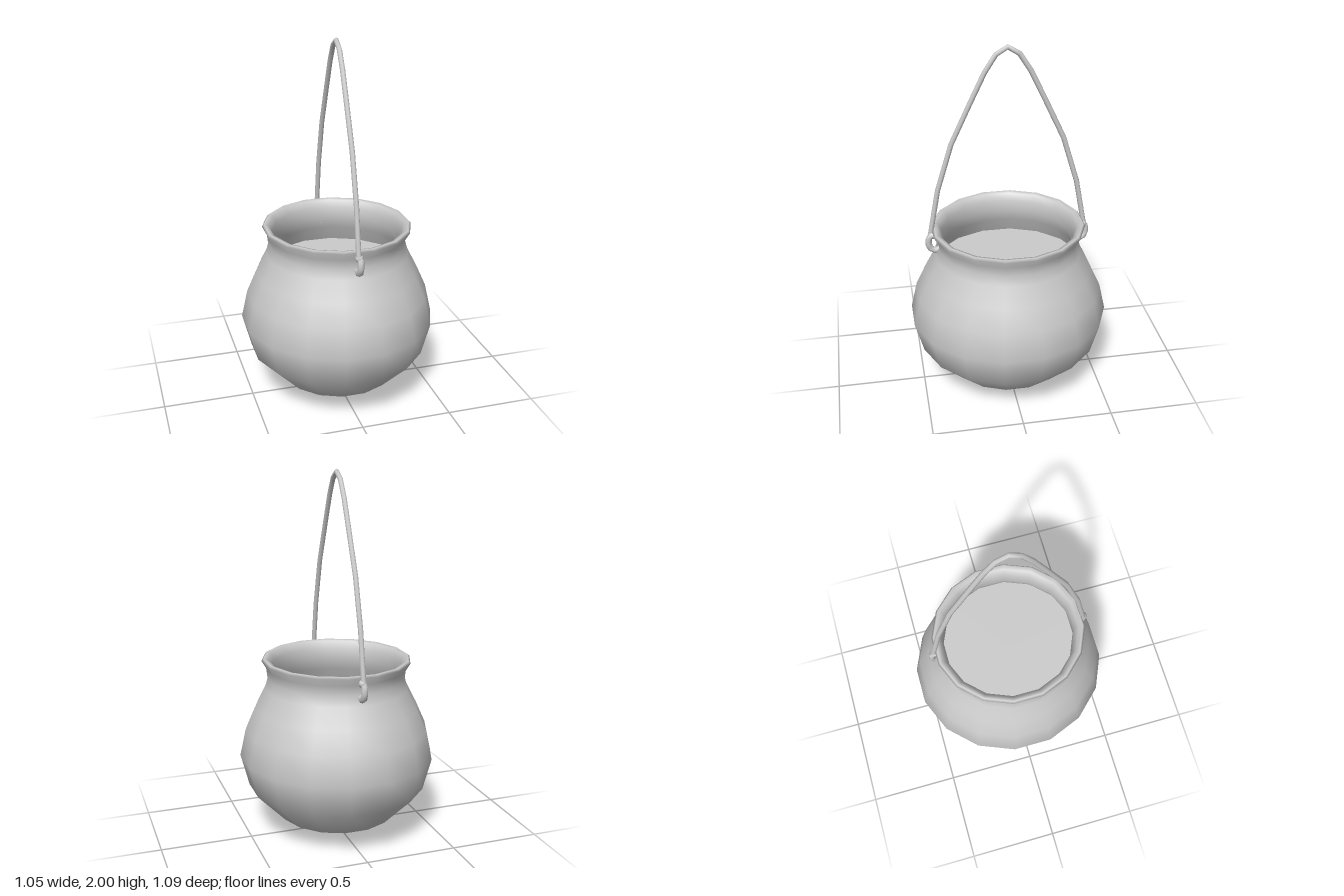
import * as THREE from 'three';

const SIDES = 16;
const DEPTH_RATIO = 0.965; // the pot is slightly narrower across x

const material = new THREE.MeshStandardMaterial({ color: 0xcccccc, side: THREE.DoubleSide });

function addMesh(parent, name, geometry) {
  const mesh = new THREE.Mesh(geometry, material);
  mesh.name = name;
  parent.add(mesh);
  return mesh;
}

// Round bar through [z, y] points, with one ring of vertices at every point
function bar(points, radius, sides, x = () => 0) {
  const curve = new THREE.CatmullRomCurve3(points.map(([z, y]) => new THREE.Vector3(x(z), y, z)));
  curve.getPointAt = curve.getPoint;
  curve.getTangentAt = curve.getTangent;
  return new THREE.TubeGeometry(curve, points.length - 1, radius, sides);
}

export function createModel() {
  const group = new THREE.Group();

  // Pot: outer wall, rolled lip, then inner wall down to the contents
  const profile = [
    [0, 0], [0.116, 0], [0.338, 0.1], [0.507, 0.27], [0.555, 0.447], [0.52, 0.6],
    [0.465, 0.72], [0.407, 0.83], [0.391, 0.885], [0.397, 0.94], [0.423, 0.982],
    [0.412, 0.994], [0.388, 0.988], [0.368, 0.95], [0.362, 0.885], [0.382, 0.82],
    [0.43, 0.72],
  ].map(([r, y]) => new THREE.Vector2(r, y));
  const pot = addMesh(group, 'pot', new THREE.LatheGeometry(profile, SIDES, Math.PI / SIDES));
  pot.scale.x = DEPTH_RATIO;

  // Flat surface of the contents
  const disc = new THREE.CircleGeometry(0.432, SIDES, Math.PI / SIDES).rotateX(-Math.PI / 2);
  const contents = addMesh(group, 'contents', disc);
  contents.position.y = 0.73;
  contents.scale.x = DEPTH_RATIO;

  // Tall pointed handle, leaning a touch from front to back
  const half = [[0.425, 0.96], [0.377, 1.22], [0.298, 1.48], [0.195, 1.7], [0.118, 1.86], [0.06, 1.95]];
  const arch = [...half, [0, 1.986], ...half.map(([z, y]) => [-z, y]).reverse()];
  addMesh(group, 'handle', bar(arch, 0.014, 8, (z) => -0.003 - 0.012 * z));

  // Hooks joining the handle to the neck, front and back
  const hookPath = [[0.4, 0.95], [0.42, 0.957], [0.435, 0.938], [0.438, 0.905], [0.428, 0.877], [0.405, 0.865], [0.365, 0.872]];
  for (const side of [1, -1]) {
    const hook = new THREE.Group();
    hook.name = side > 0 ? 'frontHook' : 'backHook';
    addMesh(hook, 'hookBar', bar(hookPath.map(([z, y]) => [z * side, y]), 0.018, 8));
    addMesh(hook, 'hookEnd', new THREE.SphereGeometry(0.022, 8, 6)).position.set(-0.005 * side, 0.955, 0.42 * side);
    group.add(hook);
  }

  return group;
}
